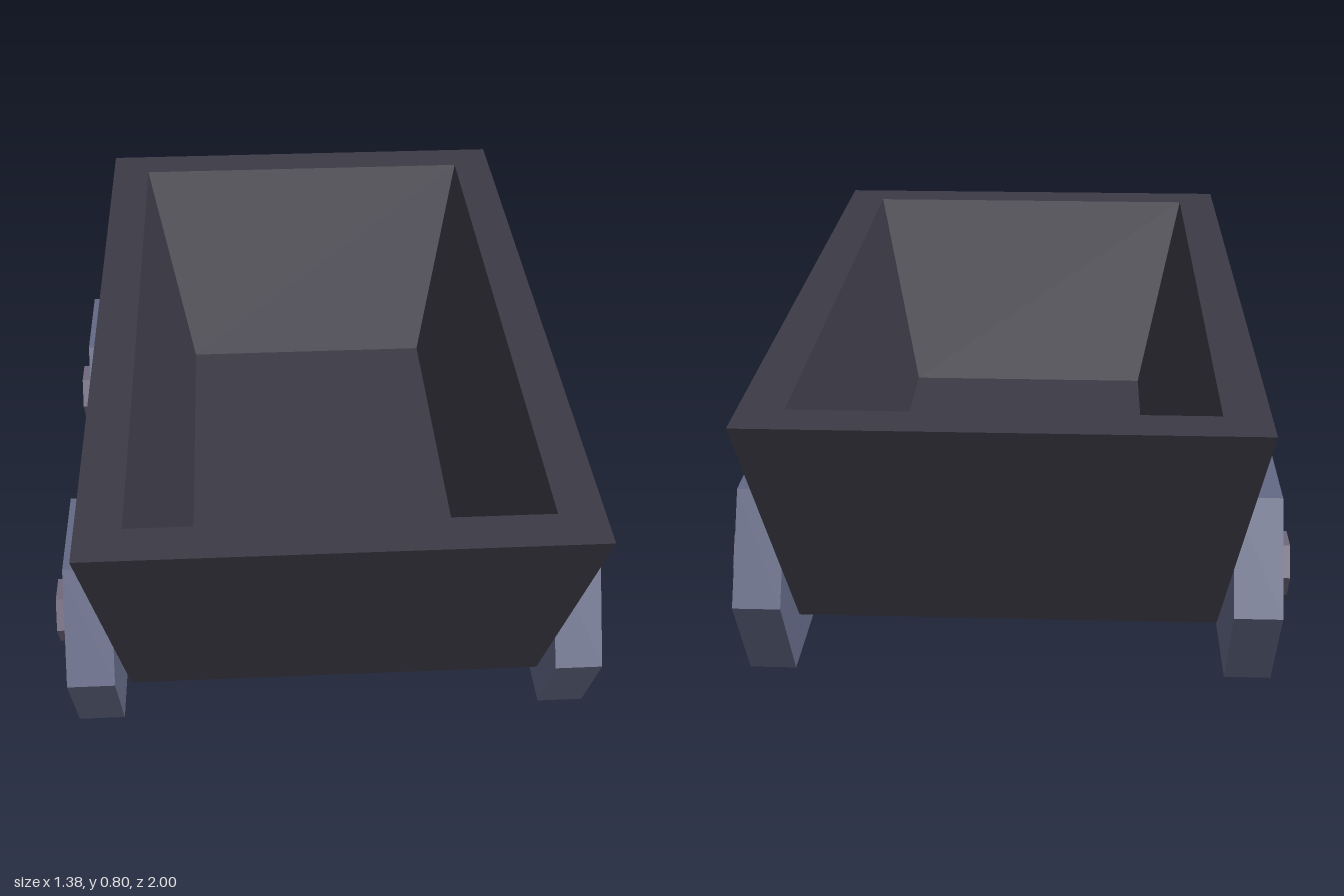
import * as THREE from 'three';

const flat = (color) => new THREE.MeshStandardMaterial({ color, flatShading: true });

// Tapered open box: rectangular rings [half width, y, half length] joined
// from the underside, up the outside, over the rim and down to the floor.
function tubGeometry(rings) {
  const corners = [[1, 1], [1, -1], [-1, -1], [-1, 1]];
  const pos = [];
  const index = [];
  for (const [w, y, l] of rings) {
    for (const [sx, sz] of corners) pos.push(sx * w, y, sz * l);
  }
  for (let r = 0; r < rings.length - 1; r++) {
    for (let i = 0; i < 4; i++) {
      const a = r * 4 + i;
      const b = r * 4 + (i + 1) % 4;
      index.push(a, b, b + 4, a, b + 4, a + 4);
    }
  }
  const t = (rings.length - 1) * 4;
  index.push(2, 1, 0, 3, 2, 0); // underside
  index.push(t, t + 1, t + 2, t, t + 2, t + 3); // inner floor
  const indexed = new THREE.BufferGeometry();
  indexed.setAttribute('position', new THREE.Float32BufferAttribute(pos, 3));
  indexed.setIndex(index);
  const geo = indexed.toNonIndexed();
  geo.computeVertexNormals();
  return geo;
}

export function createModel() {
  const cart = new THREE.Group();
  cart.name = 'mineCart';

  // Cart tub
  const tub = new THREE.Mesh(
    tubGeometry([
      [0.5, 0.205, 0.74],
      [0.58, 0.8, 1],
      [0.475, 0.8, 0.89],
      [0.35, 0.275, 0.663],
    ]),
    flat(0x3c3a46)
  );
  tub.name = 'tub';
  cart.add(tub);

  // Six-sided wheel disc, axis along x
  const wheelGeo = new THREE.CylinderGeometry(0.285, 0.285, 0.115, 6);
  wheelGeo.rotateZ(-Math.PI / 2);
  wheelGeo.translate(0.5925, 0, 0);
  const wheelMat = flat(0x636985);

  // Hub nut with a shallow recess
  const hubProfile = [[0.08, 0], [0.08, 0.04], [0.055, 0.04], [0.055, 0.02], [0, 0.02]];
  const hubGeo = new THREE.LatheGeometry(hubProfile.map(([r, h]) => new THREE.Vector2(r, h)), 6);
  hubGeo.rotateZ(-Math.PI / 2);
  hubGeo.translate(0.65, 0, 0);
  const hubMat = flat(0x6f687c);

  // Four wheels, the right-hand pair turned half around
  for (const side of [1, -1]) {
    for (const end of [1, -1]) {
      const assembly = new THREE.Group();
      assembly.name = (end > 0 ? 'front' : 'back') + (side > 0 ? 'Left' : 'Right') + 'Wheel';
      const wheel = new THREE.Mesh(wheelGeo, wheelMat);
      wheel.name = 'wheelDisc';
      const hub = new THREE.Mesh(hubGeo, hubMat);
      hub.name = 'hubNut';
      assembly.add(wheel, hub);
      assembly.position.set(0, 0.247, end * 0.508);
      if (side < 0) assembly.rotation.y = Math.PI;
      cart.add(assembly);
    }
  }
  return cart;
}
